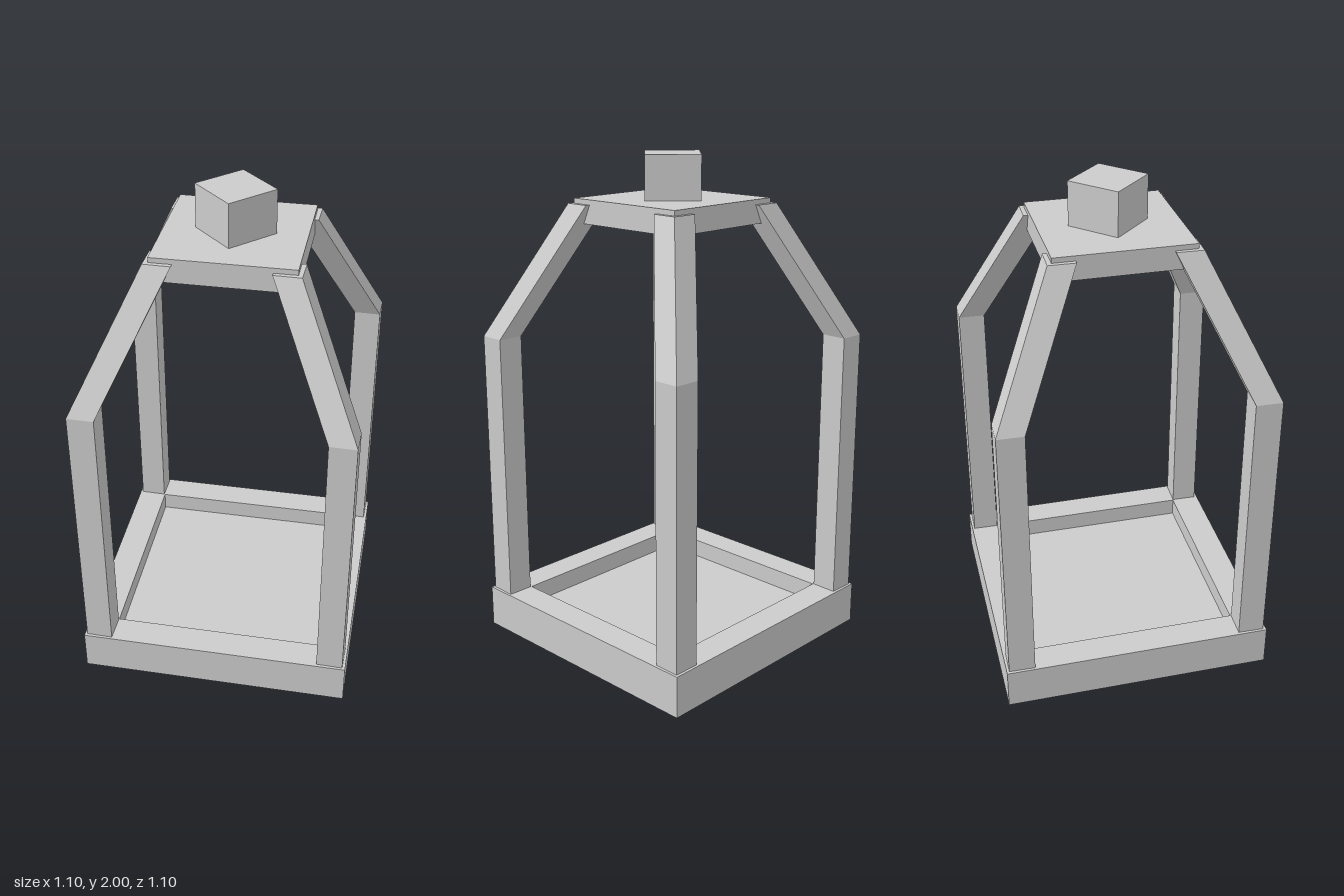
import * as THREE from 'three';

const material = new THREE.MeshStandardMaterial({ color: 0xcccccc, flatShading: true });

function part(name, geometry, y = 0) {
  const flat = geometry.index ? geometry.toNonIndexed() : geometry;
  flat.computeVertexNormals();
  const mesh = new THREE.Mesh(flat, material);
  mesh.name = name;
  mesh.position.y = y;
  return mesh;
}

// Square tray: a four-sided lathe with a raised rim and a sunken floor
function trayGeometry() {
  const outer = 0.548 * Math.SQRT2, inner = 0.428 * Math.SQRT2;
  const profile = [[0, 0], [outer, 0], [outer, 0.17], [inner, 0.17], [inner, 0.092], [0, 0.092]];
  return new THREE.LatheGeometry(profile.map(([r, y]) => new THREE.Vector2(r, y)), 4, Math.PI / 4);
}

// Corner post: upright to the bend, then leaning in to the top plate
function postGeometry() {
  const levels = [[0.165, 0.484], [1.275, 0.484], [1.805, 0.235]]; // height, x and z offset
  const geometry = new THREE.BoxGeometry(0.106, 2, 0.106, 1, 2, 1).rotateY(-0.022);
  const p = geometry.attributes.position;
  for (let i = 0; i < p.count; i++) {
    const [y, offset] = levels[Math.round(p.getY(i)) + 1];
    p.setXYZ(i, p.getX(i) + offset, y, p.getZ(i) + offset);
  }
  return geometry;
}

export function createModel() {
  const group = new THREE.Group();
  group.name = 'lantern';

  group.add(part('base', trayGeometry()));

  // Four posts, a quarter turn apart
  for (let i = 0; i < 4; i++) {
    const post = part('cornerPost', postGeometry());
    post.rotation.y = i * Math.PI / 2;
    group.add(post);
  }

  // Top plate and the knob set diagonally on it
  group.add(part('topPlate', new THREE.BoxGeometry(0.542, 0.095, 0.542), 1.7775));
  group.add(part('knob', new THREE.CylinderGeometry(0.153, 0.153, 0.175, 4), 1.9125));

  return group;
}
